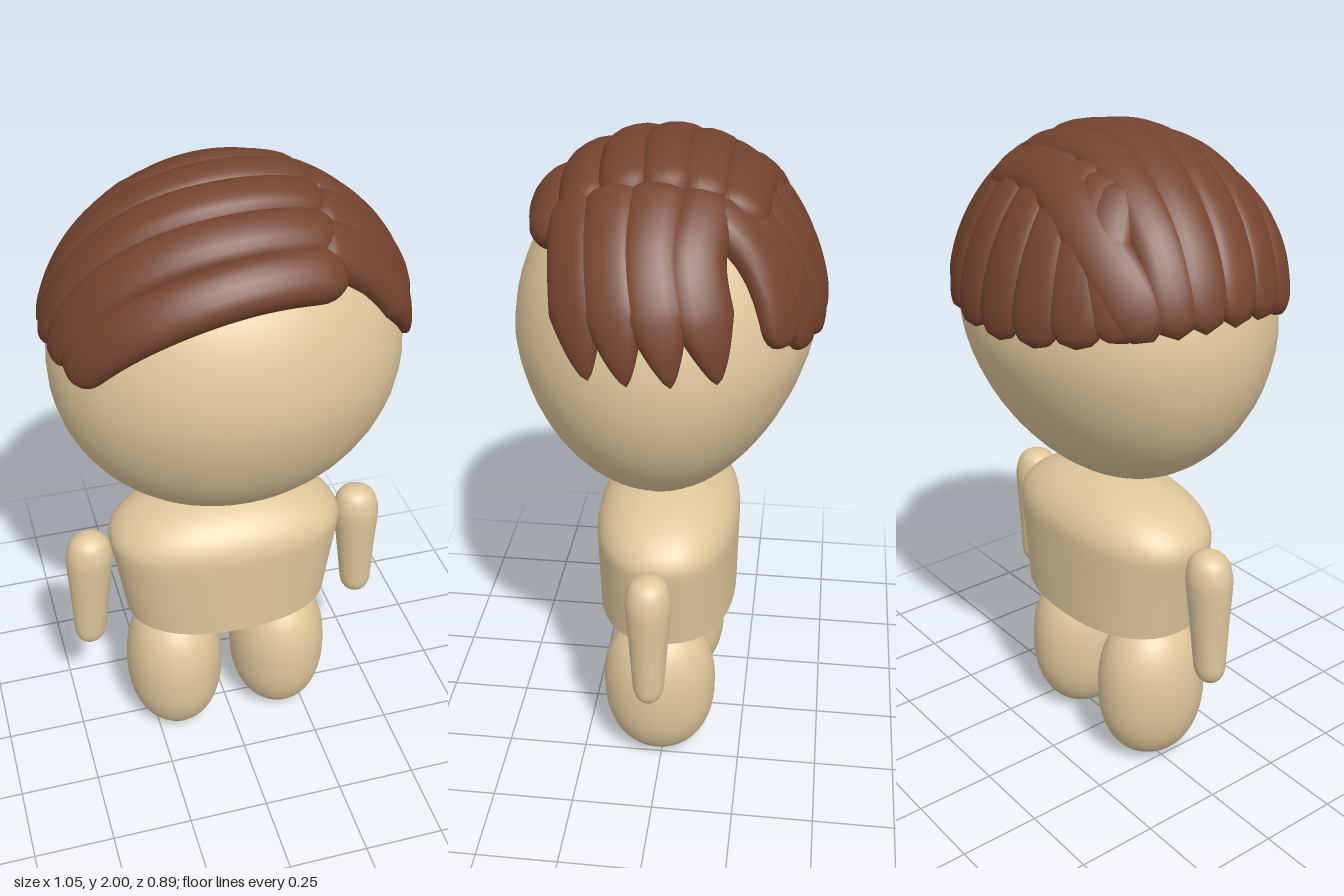
import * as THREE from 'three';

const skin = new THREE.MeshStandardMaterial({ color: 0xe0c79c });
const hairColor = new THREE.MeshStandardMaterial({ color: 0x75442f });

const HEAD = new THREE.Vector3(0, 1.44, 0.01);
const RADII = new THREE.Vector3(0.51, 0.49, 0.428);
const SIDES = 48;

function addMesh(parent, name, geometry, material) {
  const mesh = new THREE.Mesh(geometry, material);
  mesh.name = name;
  parent.add(mesh);
}

// Turned form (profile runs bottom to top) with every vertex moved by a rule
function turned(profile, rule) {
  const pts = profile.map(([x, y]) => new THREE.Vector2(Math.max(x, 0), y));
  const geometry = new THREE.LatheGeometry(pts, SIDES);
  const pos = geometry.attributes.position;
  const v = new THREE.Vector3();
  for (let i = 0; i < pos.count; i++) {
    v.fromBufferAttribute(pos, i);
    rule(v);
    pos.setXYZ(i, v.x, v.y, v.z);
  }
  geometry.computeVertexNormals();
  // Average the normals of the first and last column to hide the seam
  const normal = geometry.attributes.normal;
  const a = new THREE.Vector3(), b = new THREE.Vector3();
  for (let j = 0; j < pts.length; j++) {
    const k = SIDES * pts.length + j;
    a.fromBufferAttribute(normal, j).add(b.fromBufferAttribute(normal, k)).normalize();
    normal.setXYZ(j, a.x, a.y, a.z);
    normal.setXYZ(k, a.x, a.y, a.z);
  }
  return geometry;
}

// Rounded profile of half width r, from y0 to y1
function ovalProfile(r, y0, y1, power) {
  const pts = [];
  for (let i = 0; i <= 28; i++) {
    const a = -Math.PI / 2 + (Math.PI * i) / 28;
    const s = Math.sin(a);
    pts.push([r * Math.pow(Math.max(Math.cos(a), 0), power),
      (y0 + y1) / 2 + ((y1 - y0) / 2) * Math.sign(s) * Math.pow(Math.abs(s), power)]);
  }
  return pts;
}

// Project a point onto the head, returning position and outward normal
function onHead(point) {
  const d = point.clone().sub(HEAD).divide(RADII).normalize();
  return { p: d.clone().multiply(RADII).add(HEAD), n: d.divide(RADII).normalize() };
}

// One flattened lock of hair lying along the head
function lock(controls, width, height, pointed) {
  const curve = new THREE.CatmullRomCurve3(controls.map(c => new THREE.Vector3(...c)));
  const N = 36, M = 20;
  const line = curve.getPoints(N).map(onHead);
  const positions = [], index = [];
  for (let i = 0; i <= N; i++) {
    const u = i / N;
    const { p, n } = line[i];
    const t = line[Math.min(i + 1, N)].p.clone().sub(line[Math.max(i - 1, 0)].p).normalize();
    const s = n.clone().cross(t).normalize();
    const startCap = Math.sqrt(1 - Math.pow(1 - Math.min(u / 0.1, 1), 2));
    const e = Math.min((1 - u) / (pointed ? 0.28 : 0.14), 1);
    const endCap = pointed ? Math.pow(e, 0.75) : Math.sqrt(1 - (1 - e) * (1 - e));
    const w = Math.max(width * startCap * endCap, 0.0005);
    const h = Math.max(height * startCap * Math.sqrt(endCap) * (1 - 0.45 * u * u), 0.0005);
    for (let j = 0; j < M; j++) {
      const a = (j / M) * Math.PI * 2;
      const c = Math.cos(a), k = Math.sin(a);
      const q = p.clone().addScaledVector(n, 0.006)
        .addScaledVector(s, w * Math.sign(c) * Math.pow(Math.abs(c), 0.85))
        .addScaledVector(n, h * Math.sign(k) * Math.pow(Math.abs(k), 0.85));
      positions.push(q.x, q.y, q.z);
      if (i < N) {
        const A = i * M + j, B = i * M + (j + 1) % M;
        index.push(A, B, B + M, A, B + M, A + M);
      }
    }
  }
  const g = new THREE.BufferGeometry();
  g.setAttribute('position', new THREE.Float32BufferAttribute(positions, 3));
  g.setIndex(index);
  g.computeVertexNormals();
  return g;
}

export function createModel() {
  const model = new THREE.Group();
  model.name = 'figure';

  // Head: an egg that narrows front to back below the middle
  addMesh(model, 'head', turned(ovalProfile(1, -1, 1, 1), v => {
    v.z *= 1 - (v.z > 0 ? 0.1 : 0.2) * Math.max(0, -v.y);
    v.multiply(RADII).add(HEAD);
  }), skin);

  // Torso: tapering oval body with a domed top and a flat underside
  const torsoShape = v => {
    const r = Math.hypot(v.x, v.z);
    if (r < 1e-6) return;
    const k = Math.pow(Math.pow(Math.abs(v.x / r), 2.3) + Math.pow(Math.abs(v.z / r), 2.3), -1 / 2.3);
    const flat = THREE.MathUtils.lerp(0.655, 0.59, Math.min((v.y - 0.51) / 0.28, 1));
    v.set(v.x * k, v.y, v.z * k * flat);
  };
  const torso = new THREE.Group();
  torso.name = 'torso';
  model.add(torso);
  const body = [[0.325, 0.51], [0.338, 0.6], [0.352, 0.69], [0.362, 0.75]];
  for (let i = 0; i <= 14; i++) {
    const a = (i / 14) * Math.PI / 2;
    body.push([0.367 * Math.cos(a), 0.785 + 0.158 * Math.sin(a)]);
  }
  addMesh(torso, 'torsoBody', turned(body, torsoShape), skin);
  addMesh(torso, 'torsoUnderside', turned([[0, 0.51], [0.325, 0.51]], torsoShape), skin);

  // Arms and legs, mirrored
  const armProfile = new THREE.SplineCurve([[0, 0.4], [0.028, 0.408], [0.047, 0.437], [0.053, 0.49],
    [0.061, 0.6], [0.07, 0.7], [0.072, 0.76], [0.058, 0.808], [0.03, 0.83], [0, 0.836]]
    .map(p => new THREE.Vector2(...p))).getPoints(36).map(p => [p.x, p.y]);
  for (const [side, sign] of [['left', 1], ['right', -1]]) {
    addMesh(model, side + 'Arm', turned(armProfile, v => {
      v.x += sign * THREE.MathUtils.lerp(0.453, 0.432, (v.y - 0.4) / 0.436);
      v.z = v.z * 0.93 + 0.012;
    }), skin);
    addMesh(model, side + 'Leg', turned(ovalProfile(0.157, 0, 0.495, 0.88), v => {
      v.x += sign * 0.178;
      v.z = v.z * 1.13 + 0.012;
    }), skin);
  }

  const hair = new THREE.Group();
  hair.name = 'hair';
  model.add(hair);

  // Back locks hang from the crown: [start x, end x, end y]
  [[-0.2, -0.4, 1.53], [-0.15, -0.29, 1.5], [-0.08, -0.17, 1.48], [0, -0.04, 1.47],
    [0.09, 0.09, 1.47], [0.17, 0.21, 1.48], [0.22, 0.3, 1.52]].forEach(([x0, x1, y], i) => {
    const zEnd = -0.428 * Math.sqrt(1 - (x1 / 0.51) ** 2);
    addMesh(hair, 'backLock' + (i + 1), lock([[x0, 1.88, -0.13],
      [x0 * 0.4 + x1 * 0.6, 1.77, -0.28], [x1, y, zEnd]], 0.078, 0.055, false), hairColor);
  });

  // Short side locks fall from the parting: [start z, end z]
  [[0.23, 0.16], [0.11, 0.05], [0, -0.06], [-0.12, -0.19]].forEach(([z0, z1], i) => {
    addMesh(hair, 'sideLock' + (i + 1), lock([[0.18, 1.87, z0],
      [0.36, 1.76, z0 * 0.9 + 0.005], [0.5, 1.49, z1]], 0.083, 0.058, true), hairColor);
  });

  // Long locks sweep across the top: [parting z, middle z, end z]
  const top = z => 1.44 + 0.49 * Math.sqrt(1 - (z / 0.428) ** 2);
  [[0.26, 0.3, 0.18], [0.18, 0.21, 0.1], [0.08, 0.105, 0.01], [-0.02, 0, -0.08],
    [-0.11, -0.1, -0.16]].forEach(([z0, z1, z2], i) => {
    addMesh(hair, 'sweptLock' + (i + 1), lock([[0.245, top(z0) - 0.06, z0],
      [-0.03, top(z1), z1], [-0.32, top(z1) - 0.13, (z1 + z2) / 2],
      [-0.49, 1.54, z2]], 0.075, 0.064, false), hairColor);
  });

  // Curved lock wrapping the crown above the back
  addMesh(hair, 'crownLock', lock([[0.23, 1.8, -0.18], [0, 1.86, -0.21],
    [-0.25, 1.76, -0.255], [-0.46, 1.54, -0.22]], 0.085, 0.068, false), hairColor);

  return model;
}
